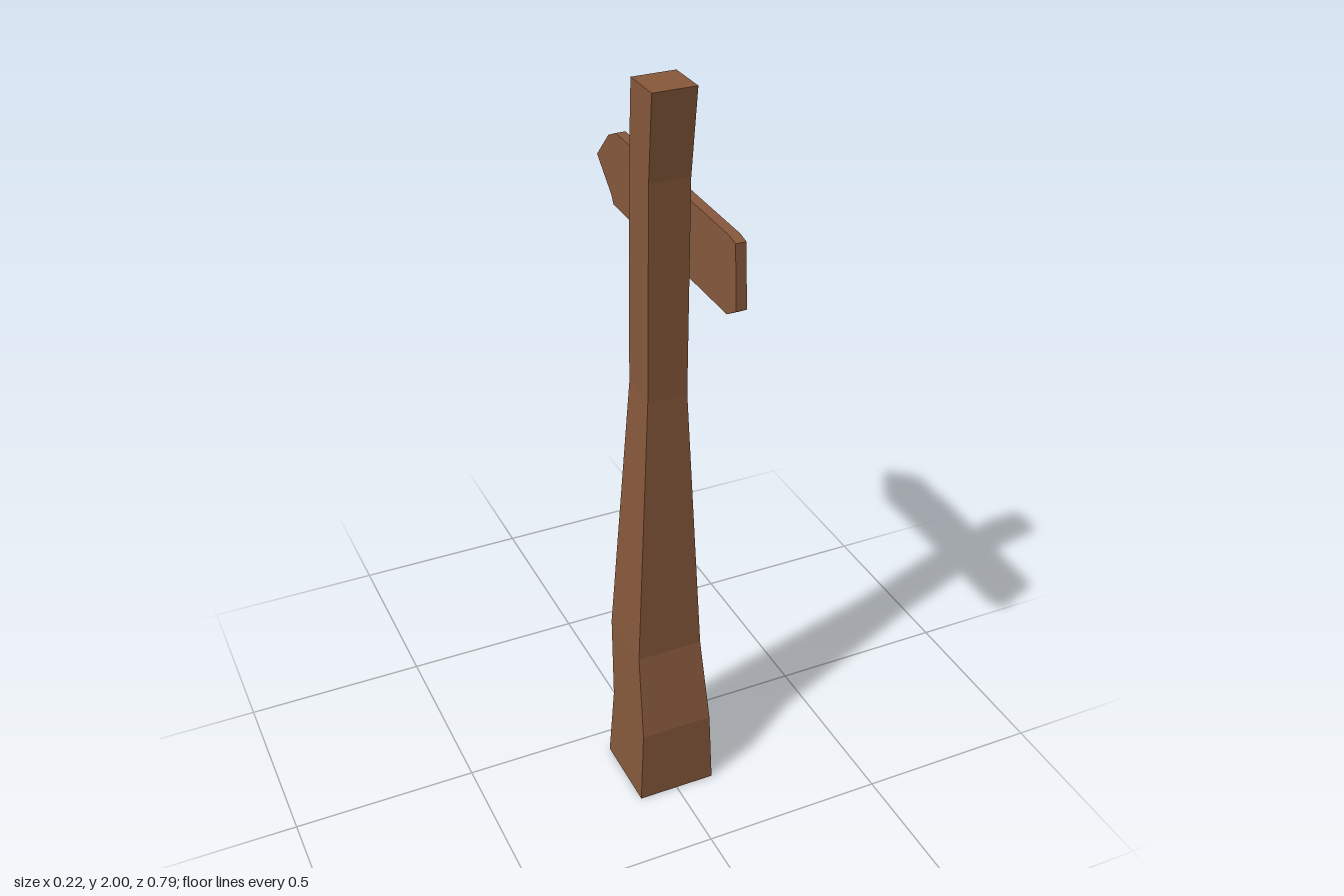
import * as THREE from 'three';

// Square post lofted through cross-sections: [y, half width, back z, front z]
function createPostGeometry(sections) {
  const positions = [];
  const indices = [];
  for (const [y, h, back, front] of sections) {
    positions.push(-h, y, front, h, y, front, h, y, back, -h, y, back);
  }
  for (let s = 0; s < sections.length - 1; s++) {
    for (let i = 0; i < 4; i++) {
      const a = s * 4 + i;
      const b = s * 4 + ((i + 1) % 4);
      indices.push(a, b, b + 4, a, b + 4, a + 4);
    }
  }
  // End caps
  const t = (sections.length - 1) * 4;
  indices.push(0, 2, 1, 0, 3, 2, t, t + 1, t + 2, t, t + 2, t + 3);

  const indexed = new THREE.BufferGeometry();
  indexed.setAttribute('position', new THREE.Float32BufferAttribute(positions, 3));
  indexed.setIndex(indices);
  const geometry = indexed.toNonIndexed();
  geometry.computeVertexNormals();
  return geometry;
}

// Arrow-shaped board, outlined in (z, y) and extruded along x
function createBoardGeometry(outline, x, thickness) {
  const shape = new THREE.Shape(outline.map(([z, y]) => new THREE.Vector2(-z, y)));
  const geometry = new THREE.ExtrudeGeometry(shape, { depth: thickness, bevelEnabled: false });
  geometry.rotateY(Math.PI / 2);
  geometry.translate(x, 0, 0);
  return geometry;
}

export function createModel() {
  const model = new THREE.Group();
  model.name = 'signpost';

  const wood = new THREE.MeshStandardMaterial({ color: 0x87593c });
  wood.name = 'brown wood';
  wood.flatShading = true;

  // Crooked tapering post
  const post = new THREE.Mesh(createPostGeometry([
    [0, 0.108, 0.07, 0.287],
    [0.215, 0.099, 0.082, 0.28],
    [0.445, 0.09, 0.05, 0.23],
    [1.21, 0.053, 0.088, 0.197],
    [1.78, 0.053, 0.088, 0.195],
    [2, 0.056, 0.104, 0.215],
  ]), wood);
  post.name = 'post';
  model.add(post);

  // Pointed sign board with chipped corners
  const board = new THREE.Mesh(createBoardGeometry([
    [0.395, 1.528],
    [0.35, 1.5],
    [-0.29, 1.507],
    [-0.305, 1.53],
    [-0.395, 1.607],
    [-0.32, 1.687],
    [-0.275, 1.708],
    [0.35, 1.697],
    [0.38, 1.69],
  ], 0.073, 0.027), wood);
  board.name = 'signBoard';
  model.add(board);

  return model;
}
